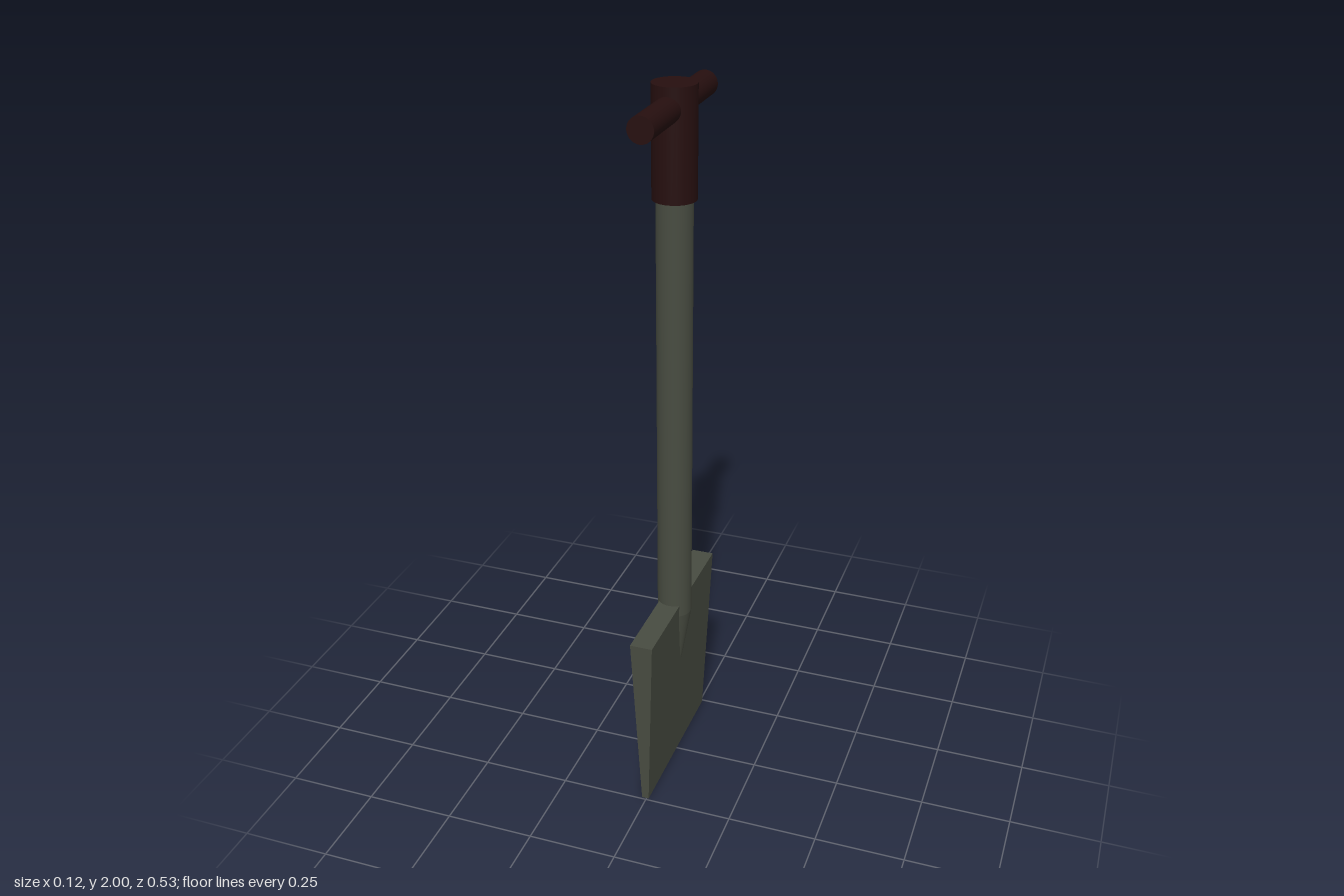
import * as THREE from 'three';

export function createModel() {
  const group = new THREE.Group();
  const steel = new THREE.MeshStandardMaterial({ color: 0x484c41 });
  steel.name = 'greyGreenSteel';
  const grip = new THREE.MeshStandardMaterial({ color: 0x260f0f });
  grip.name = 'darkRedGrip';

  const add = (name, geometry, material, x, y, z) => {
    const mesh = new THREE.Mesh(geometry, material);
    mesh.name = name;
    mesh.position.set(x, y, z);
    group.add(mesh);
  };
  // Upright round part between two heights
  const rod = (name, rTop, rBottom, y0, y1, material, open = false) =>
    add(name, new THREE.CylinderGeometry(rTop, rBottom, y1 - y0, 32, 1, open), material, 0, (y0 + y1) / 2, -0.001);

  // Shaft, with a tapered socket running into the blade
  rod('shaft', 0.048, 0.048, 0.5, 1.72, steel, true);
  rod('socket', 0.048, 0.018, 0.32, 0.5, steel);

  // Wedge blade: thick and wide at the top, thin at the cutting edge
  const blade = new THREE.BoxGeometry(1, 0.535, 1);
  const p = blade.attributes.position;
  for (let i = 0; i < p.count; i++) {
    const top = p.getY(i) > 0;
    p.setX(i, p.getX(i) * (top ? 0.063 : 0.02));
    p.setZ(i, p.getZ(i) * (top ? 0.53 : 0.488));
  }
  blade.computeVertexNormals();
  add('blade', blade, steel, -0.0035, 0.2675, 0);

  // Grip collar and crossbar
  rod('collar', 0.058, 0.058, 1.71, 2, grip);
  const bar = new THREE.CylinderGeometry(0.034, 0.034, 0.475, 32).rotateX(Math.PI / 2);
  add('crossbar', bar, grip, -0.001, 1.943, -0.002);

  return group;
}
